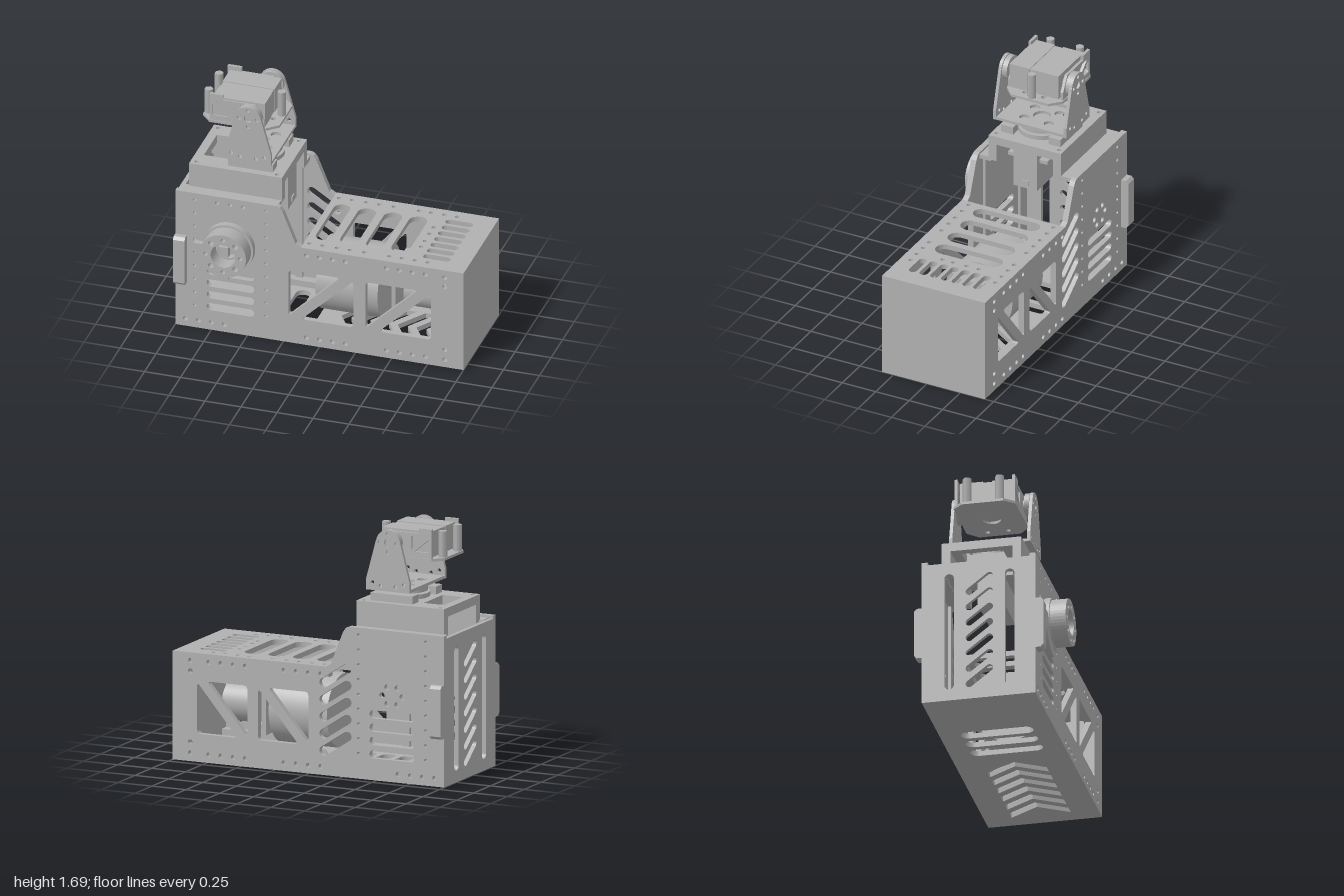
import * as THREE from 'three';

const grey = new THREE.MeshStandardMaterial({ color: 0xb0b0b0 });
grey.name = 'machinedGrey';
const ZC = -0.05; // centre line of the housing
const ZF = 0.335, ZB = -0.435, T = 0.04; // outer faces of the side plates, plate thickness

export function createModel() {
  const model = new THREE.Group();

  const add = (name, geo, x = 0, y = 0, z = 0) => {
    const m = new THREE.Mesh(geo, grey);
    m.name = name;
    m.position.set(x, y, z);
    model.add(m);
    return m;
  };
  // Box given by its limits
  const box = (name, x0, x1, y0, y1, z0, z1) =>
    add(name, new THREE.BoxGeometry(x1 - x0, y1 - y0, z1 - z0), (x0 + x1) / 2, (y0 + y1) / 2, (z0 + z1) / 2);
  const cyl = (name, axis, r, len, x, y, z, n = 40) => {
    const g = new THREE.CylinderGeometry(r, r, len, n);
    if (axis === 'x') g.rotateZ(Math.PI / 2);
    if (axis === 'z') g.rotateX(Math.PI / 2);
    return add(name, g, x, y, z);
  };
  // Outlines and cut-outs
  const outline = (pts) => new THREE.Shape(pts.map(([a, b]) => new THREE.Vector2(a, b)));
  const rect = (a0, a1, b0, b1) => [[a0, b0], [a1, b0], [a1, b1], [a0, b1]];
  const hole = (x, y, r = 0.017) => new THREE.Path().absarc(x, y, r, 0, Math.PI * 2, true);
  const slot = (x, y, len, w, angle = 0) => {
    const d = (len - w) / 2, dx = d * Math.cos(angle), dy = d * Math.sin(angle), h = Math.PI / 2;
    const p = new THREE.Path();
    p.absarc(x + dx, y + dy, w / 2, angle - h, angle + h, false);
    p.absarc(x - dx, y - dy, w / 2, angle + h, angle + 3 * h, false);
    p.closePath();
    return p;
  };
  const roundedPoly = (pts, r) => {
    const v = pts.map(([a, b]) => new THREE.Vector2(a, b)), p = new THREE.Path();
    v.forEach((c, i) => {
      const toward = (o) => c.clone().add(o.clone().sub(c).setLength(r));
      const a = toward(v[(i + v.length - 1) % v.length]), b = toward(v[(i + 1) % v.length]);
      if (i) p.lineTo(a.x, a.y); else p.moveTo(a.x, a.y);
      p.quadraticCurveTo(c.x, c.y, b.x, b.y);
    });
    p.closePath();
    return p;
  };
  const sheet = (pts, holes, depth, curveSegments = 8) => {
    const s = Array.isArray(pts) ? outline(pts) : pts;
    s.holes.push(...holes);
    return new THREE.ExtrudeGeometry(s, { depth, bevelEnabled: false, curveSegments });
  };
  // Horizontal sheets use (x, -z); end sheets use (z, y)
  const flat = (name, pts, holes, depth, y) => add(name, sheet(pts, holes, depth).rotateX(-Math.PI / 2), 0, y, 0);
  const end = (name, pts, holes, depth, x) => add(name, sheet(pts, holes, depth).rotateY(-Math.PI / 2), x, 0, 0);

  // Side plates with windows, vents and bolt holes
  const side = [[-1, 0], [1, 0], [1, 0.735], [-0.13, 0.735], [-0.165, 0.755], [-0.255, 0.98], [-0.275, 1.01], [-0.3, 1.02], [-1, 1.02]];
  const braced = (x, w) => [
    roundedPoly([[x, 0.55], [x, 0.2], [x + w * 0.8, 0.55]], 0.03),
    roundedPoly([[x + w, 0.19], [x + w, 0.54], [x + w * 0.2, 0.19]], 0.03),
  ];
  const sideHoles = () => {
    const h = [];
    for (let i = 0; i < 4; i++) {
      h.push(slot(-0.617, 0.175 + i * 0.09, 0.33, 0.055));
      for (const y of [0.055, 0.68]) h.push(hole(-0.09 + i * 0.09, y), hole(0.465 + i * 0.09, y));
      h.push(hole(-0.93 + i * 0.09, 0.055));
    }
    for (const y of [0.055, 0.13, 0.61, 0.68]) h.push(hole(0.87, y));
    for (const x of [-0.865, -0.37]) for (let y = 0.17; y < 1; y += 0.1) h.push(hole(x, y, 0.011));
    return h;
  };
  const frontHoles = [...sideHoles(), ...braced(-0.215, 0.45), ...braced(0.32, 0.455)];
  for (const x of [-0.71, -0.62, -0.53]) frontHoles.push(hole(x, 0.97, 0.014));
  add('frontSidePlate', sheet(side, frontHoles, T), 0, 0, ZF - T);
  const backHoles = [...sideHoles(), ...braced(0.0, 0.37), ...braced(0.45, 0.37)];
  for (let i = 0; i < 5; i++) backHoles.push(slot(-0.2, 0.22 + i * 0.115, 0.27, 0.065, -0.58));
  for (let i = 0; i < 6; i++) backHoles.push(hole(-0.617 + 0.075 * Math.cos(i * Math.PI / 3), 0.58 + 0.065 * Math.sin(i * Math.PI / 3), 0.02));
  add('backSidePlate', sheet(side, backHoles, T), 0, 0, ZB);

  // Top deck
  const z0 = ZB + T, z1 = ZF - T;
  const topHoles = [-0.03, 0.145, 0.325, 0.5].map((x) => slot(x, -ZC, 0.49, x < 0 ? 0.11 : 0.125, Math.PI / 2));
  for (let i = -3; i <= 3; i++) topHoles.push(slot(0.77, -ZC + i * 0.08, 0.19, 0.055));
  for (const z of [-0.37, 0.265])
    for (const x of [-0.09, 0, 0.1, 0.19, 0.29, 0.465, 0.55, 0.64, 0.73]) topHoles.push(hole(x, -z, 0.015));
  for (const z of [-0.19, -0.1, 0, 0.08]) topHoles.push(hole(0.625, -z, 0.015));
  flat('topDeck', rect(-0.13, 0.97, -z1, -z0), topHoles, 0.035, 0.7);

  // Floor with chevron vents and cross slots
  const floorHoles = [-0.16, -0.3, -0.44].map((x) => slot(x, -ZC, 0.49, 0.1, Math.PI / 2));
  for (let i = 0; i < 6; i++) {
    const x = 0.03 + i * 0.13, c = -ZC;
    floorHoles.push(outline([[x, c], [x + 0.13, c - 0.2], [x + 0.2, c - 0.2], [x + 0.07, c], [x + 0.2, c + 0.2], [x + 0.13, c + 0.2]]));
  }
  flat('floor', rect(-0.97, 0.97, -z1, -z0), floorHoles, 0.035, 0);

  // End plates
  box('solidEndPlate', 0.97, 1, 0, 0.735, z0, z1);
  const ventHoles = [slot(0.16, 0.5, 0.84, 0.065, Math.PI / 2), slot(-0.25, 0.5, 0.84, 0.065, Math.PI / 2)];
  for (let i = 0; i < 7; i++) ventHoles.push(slot(ZC + 0.005, 0.16 + i * 0.112, 0.22, 0.05, 0.65));
  end('ventedEndPlate', rect(z0, z1, 0, 1), ventHoles, 0.03, -0.97);

  // Inner rails behind the bolt rows, corner ledges and end grips on both sides
  for (const s of [1, -1]) {
    const span = (a, b) => [ZC + s * a, ZC + s * b].sort((p, q) => p - q);
    for (const y of [0.035, 0.655]) box('boltRail', -0.13, 0.97, y, y + 0.045, ...span(0.285, 0.345));
    box('boltRail', -0.97, -0.13, 0.035, 0.08, ...span(0.285, 0.345));
    for (const x of [-0.865, -0.37]) box('boltStrip', x - 0.025, x + 0.025, 0.08, 0.98, ...span(0.325, 0.345));
    box('turretLedge', -0.97, -0.3, 0.975, 1.005, ...span(0.26, 0.345));
    const a = ZC + s * 0.385, b = ZC + s * 0.438, m = ZC + s * 0.42;
    end('endGrip', s > 0 ? [[a, 0.33], [m, 0.33], [b, 0.35], [b, 0.67], [m, 0.69], [a, 0.69]]
      : [[a, 0.69], [m, 0.69], [b, 0.67], [b, 0.35], [m, 0.33], [a, 0.33]], [], 0.08, -0.92);
  }

  // Drum hub with its cam plate
  const ring = (r, inner) => new THREE.Shape().absarc(0, 0, r, 0, Math.PI * 2, false);
  const bolts = () => [0, 1, 2, 3, 4, 5, 6, 7].map((i) => hole(0.12 * Math.cos(i * Math.PI / 4), 0.12 * Math.sin(i * Math.PI / 4), i % 2 ? 0.019 : 0.015));
  add('hubFlange', sheet(ring(0.175), [hole(0, 0, 0.07), ...bolts()], 0.045, 24), -0.62, 0.665, ZF);
  add('hubDrum', sheet(ring(0.16), [hole(0, 0, 0.085), ...bolts()], 0.11, 24), -0.62, 0.665, ZF + 0.045);
  const cam = new THREE.Shape().moveTo(0, 0).lineTo(-0.24, 0).absarc(0, 0, 0.24, Math.PI, Math.PI * 1.5, false);
  add('camPlate', sheet(cam, [], 0.04, 16), -0.62, 0.665, ZF);

  // Drive inside the housing
  cyl('driveDrum', 'x', 0.25, 0.43, 0.145, 0.36, ZC, 48);
  cyl('driveShaft', 'x', 0.045, 0.18, 0.43, 0.36, ZC, 20);
  box('gearPlate', 0.43, 0.46, 0.17, 0.54, -0.2, 0.12);
  cyl('motorBody', 'x', 0.14, 0.25, 0.63, 0.36, ZC);
  cyl('motorCap', 'x', 0.1, 0.025, 0.765, 0.36, ZC);
  box('motorMount', 0.36, 0.5, 0.49, 0.54, -0.16, 0.06);
  for (let i = 0; i < 4; i++) cyl('gearSpacer', 'x', 0.018, 0.06, 0.485, 0.36 + (i < 2 ? 0.13 : -0.13), ZC + (i % 2 ? 0.1 : -0.1), 12);

  // Turret base: channel open along x
  for (const [a, b] of [[0.165, 0.225], [-0.315, -0.255]]) box('turretBaseWall', -0.94, -0.295, 0.99, 1.145, a, b);
  const baseHoles = [outline(rect(-0.88, -0.73, -0.09, 0.19))];
  for (const x of [-0.9, -0.34]) for (const z of [-0.28, 0.19]) baseHoles.push(hole(x, -z, 0.014));
  flat('turretBaseTop', rect(-0.94, -0.295, -0.225, 0.315), baseHoles, 0.06, 1.115);
  // Pan servo hanging beneath
  box('panServo', -0.68, -0.31, 0.835, 1.115, -0.13, 0.045);
  box('servoFlange', -0.66, -0.34, 1.035, 1.06, -0.19, 0.105);
  box('servoPlug', -0.31, -0.302, 0.86, 0.895, -0.07, -0.02);

  // Turntable
  cyl('turntableDisc', 'y', 0.145, 0.035, -0.53, 1.24, ZC);
  cyl('turntableHub', 'y', 0.06, 0.06, -0.53, 1.2, ZC);
  cyl('turntableRing', 'y', 0.16, 0.03, -0.53, 1.198, ZC);
  for (const z of [0.13, -0.225]) box('turntableLug', -0.685, -0.375, 1.175, 1.228, z - 0.045, z + 0.045);

  // Tilt fork
  const forkHoles = [[0, 0, 0.06]];
  for (let i = 0; i < 4; i++) forkHoles.push([0.105 * Math.cos(i * Math.PI / 2 + 0.78), 0.13 * Math.sin(i * Math.PI / 2 + 0.78), 0.035]);
  flat('forkBase', rect(-0.685, -0.37, -0.23, 0.32), forkHoles.map(([x, y, r]) => hole(-0.53 + x, -ZC + y, r)), 0.02, 1.258);
  for (const z of [0.208, -0.32]) {
    const arm = new THREE.Shape().moveTo(-0.158, 1.258).lineTo(0.162, 1.258).lineTo(0.162, 1.33);
    arm.lineTo(0.088, 1.6).absarc(0, 1.585, 0.088, 0.2, Math.PI - 0.2, false).lineTo(-0.158, 1.33);
    const holes = [-0.115, -0.055, 0.055, 0.115].map((x) => hole(x, Math.abs(x) > 0.1 ? 1.31 : 1.29, 0.013));
    for (let i = 0; i < 4; i++) holes.push(hole(0.062 * Math.cos(i * Math.PI / 2), 1.585 + 0.062 * Math.sin(i * Math.PI / 2), 0.014));
    holes.push(hole(0, 1.585, 0.028));
    add('forkArm', sheet(arm, holes, 0.022), -0.53, 0, z);
  }

  // Tilt head: tray, twin servos, horns, posts and brackets
  const tray = [[-0.885, -0.09], [-0.82, -0.16], [-0.43, -0.16], [-0.355, -0.09], [-0.355, 0.19], [-0.43, 0.26], [-0.82, 0.26], [-0.885, 0.19]];
  flat('headTray', tray, [hole(-0.6, 0.05, 0.06), hole(-0.42, 0.12), hole(-0.42, -0.02)], 0.018, 1.475);
  box('headServoFront', -0.8, -0.44, 1.49, 1.667, -0.005, 0.145);
  box('headServoBack', -0.8, -0.44, 1.49, 1.667, -0.22, -0.065);
  box('headServoLink', -0.795, -0.445, 1.493, 1.662, -0.07, 0);
  for (const s of [1, -1]) {
    const z = (d) => ZC + s * d;
    cyl('servoHorn', 'z', 0.085, 0.035, -0.53, 1.585, z(0.237), 28);
    cyl('servoAxle', 'z', 0.045, 0.06, -0.53, 1.585, z(0.205), 20);
    const bracket = [[-0.82, 1.48], [-0.44, 1.48], [-0.44, 1.55], [-0.5, 1.655], [-0.725, 1.655], [-0.725, 1.69], [-0.82, 1.69]];
    const cuts = [roundedPoly([[-0.8, 1.53], [-0.69, 1.53], [-0.8, 1.62]], 0.015), roundedPoly([[-0.67, 1.54], [-0.67, 1.635], [-0.78, 1.635]], 0.015)];
    add('headBracket', sheet(bracket, cuts, 0.02), 0, 0, z(0.195) - 0.01);
  }
  for (const [x, z] of [[-0.385, -0.05], [-0.855, -0.16], [-0.855, 0.06]]) cyl('headPost', 'y', 0.03, 0.185, x, 1.577, z, 6);

  return model;
}
